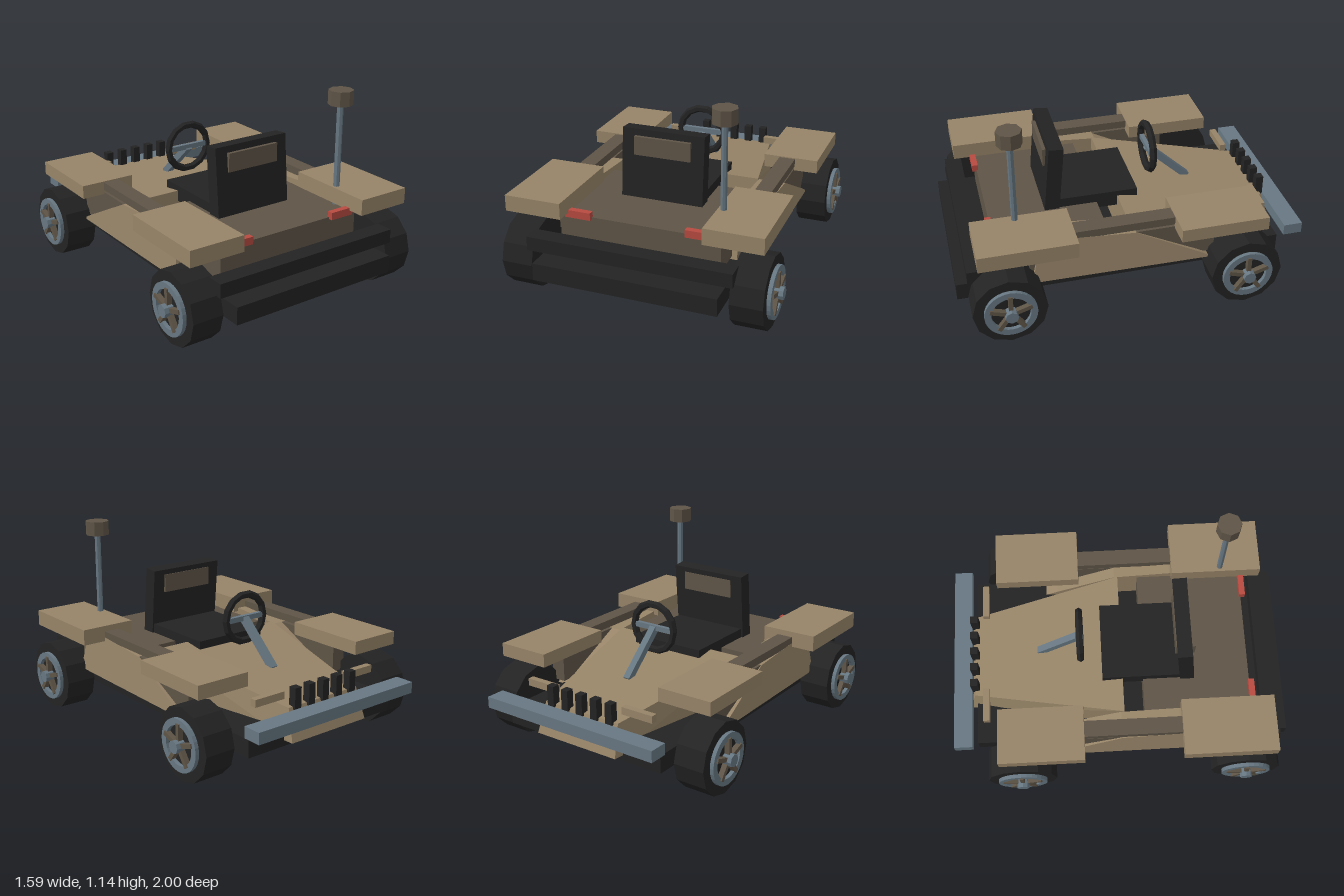
import * as THREE from 'three';
import { ConvexGeometry } from 'three/addons/geometries/ConvexGeometry.js';

const mat = (name, color) => {
  const m = new THREE.MeshStandardMaterial({ color, flatShading: true });
  m.name = name;
  return m;
};

export function createModel() {
  const tan = mat('tan paint', 0x978468);
  const brown = mat('dark brown', 0x5f5547);
  const steel = mat('blue steel', 0x677782);
  const black = mat('black', 0x232323);
  const red = mat('red', 0xb84a40);

  const car = new THREE.Group();
  car.name = 'buggy';

  const add = (name, geometry, material, parent = car) => {
    const mesh = new THREE.Mesh(geometry, material);
    mesh.name = name;
    parent.add(mesh);
    return mesh;
  };
  // Box given by its extents along each axis
  const box = (name, material, [x0, x1], [y0, y1], [z0, z1], parent = car) => {
    const mesh = add(name, new THREE.BoxGeometry(x1 - x0, y1 - y0, z1 - z0), material, parent);
    mesh.position.set((x0 + x1) / 2, (y0 + y1) / 2, (z0 + z1) / 2);
    return mesh;
  };
  // The same box on both sides of the car
  const pair = (name, material, [x0, x1], ys, zs) => {
    box(name + 'Left', material, [x0, x1], ys, zs);
    box(name + 'Right', material, [-x1, -x0], ys, zs);
  };
  const hull = (name, material, points) =>
    add(name, new ConvexGeometry(points.map((p) => new THREE.Vector3(...p))), material);

  // Chassis, tub and bumpers
  box('chassis', black, [-0.52, 0.52], [0.16, 0.26], [-0.87, 1]);
  box('rearTub', brown, [-0.46, 0.46], [0.28, 0.47], [0.14, 0.77]);
  box('rearBumper', black, [-0.58, 0.58], [0.3, 0.38], [0.84, 0.94]);
  box('frontBumper', steel, [-0.565, 0.565], [0.29, 0.355], [-1, -0.89]);

  // Tapered bonnet with a sloping nose
  const bonnet = [];
  for (const s of [-1, 1]) {
    bonnet.push([s * 0.43, 0.26, 0.02], [s * 0.43, 0.495, 0.02],
      [s * 0.25, 0.365, -0.87], [s * 0.27, 0.19, -0.925], [s * 0.43, 0.26, -0.02]);
  }
  hull('bonnet', tan, bonnet);

  // Side pods, leaning in towards the top
  const profile = [[0.59, 0.265], [0.54, 0.49], [0.34, 0.51], [0, 0.485], [-0.36, 0.3], [-0.44, 0.255]];
  for (const s of [-1, 1]) {
    const points = [];
    for (const [z, y] of profile) {
      points.push([s * 0.43, y, z], [s * (0.61 - (y - 0.26) * 0.1), y, z]);
    }
    hull(s > 0 ? 'sidePodLeft' : 'sidePodRight', tan, points);
  }
  pair('podCore', brown, [0.495, 0.583], [0.28, 0.485], [-0.455, 0.6]);
  pair('sideRail', brown, [0.49, 0.585], [0.5, 0.547], [-0.23, 0.36]);

  // Fenders and lights
  pair('rearFender', tan, [0.398, 0.725], [0.488, 0.58], [0.35, 0.89]);
  pair('frontFender', tan, [0.398, 0.72], [0.475, 0.553], [-0.72, -0.22]);
  pair('tailLight', red, [0.27, 0.42], [0.46, 0.503], [0.76, 0.795]);
  pair('frontMarker', tan, [0.23, 0.43], [0.393, 0.435], [-0.815, -0.778]);

  // Grille posts on the nose
  for (let i = -2; i <= 2; i++) {
    box('grillePost', black, [i * 0.1 - 0.022, i * 0.1 + 0.022], [0.35, 0.47], [-0.888, -0.843]);
  }

  // Seat
  box('seatCushion', black, [-0.23, 0.23], [0.43, 0.525], [-0.1, 0.36]);
  const back = box('seatBack', black, [-0.24, 0.24], [0.465, 0.863], [0.343, 0.428]);
  back.rotation.x = -0.09;
  box('headrestPanel', brown, [-0.165, 0.165], [0.72, 0.828], [0.323, 0.434]);

  // Steering wheel and sloping column
  const wheelRim = add('steeringWheel', new THREE.TorusGeometry(0.138, 0.022, 6, 14), black);
  wheelRim.position.set(0, 0.655, -0.222);
  box('steeringSpoke', steel, [-0.13, 0.13], [0.64, 0.67], [-0.235, -0.21]);
  const column = add('steeringColumn', new THREE.BoxGeometry(0.04, 0.04, 0.35), steel);
  column.position.set(0, 0.535, -0.345);
  column.rotation.x = -0.75;

  // Mast with beacon
  const mast = add('mast', new THREE.CylinderGeometry(0.018, 0.018, 0.62, 8), steel);
  mast.position.set(0.43, 0.76, 0.645);
  const beacon = add('beacon', new THREE.CylinderGeometry(0.07, 0.07, 0.083, 8), brown);
  beacon.position.set(0.43, 1.1, 0.645);

  // Wheels: built facing +x around their own axle
  const tyreGeo = new THREE.CylinderGeometry(0.205, 0.205, 0.18, 12).rotateZ(Math.PI / 2);
  const ringShape = new THREE.Shape().absarc(0, 0, 0.145, 0, Math.PI * 2);
  ringShape.holes.push(new THREE.Path().absarc(0, 0, 0.108, 0, Math.PI * 2, true));
  const ringGeo = new THREE.ExtrudeGeometry(ringShape, { depth: 0.025, bevelEnabled: false, curveSegments: 14 })
    .rotateY(Math.PI / 2);
  const hubGeo = new THREE.CylinderGeometry(0.036, 0.036, 0.06, 8).rotateZ(Math.PI / 2);
  const spokeGeo = new THREE.BoxGeometry(0.03, 0.1, 0.024).translate(0.755, 0.07, 0);
  for (const [end, z] of [['rear', 0.735], ['front', -0.605]]) {
    const axle = add(end + 'Axle', new THREE.CylinderGeometry(0.024, 0.024, 1.2, 8).rotateZ(Math.PI / 2), steel);
    axle.position.set(0, 0.21, z);
    for (const side of ['Left', 'Right']) {
      const wheel = new THREE.Group();
      wheel.name = end + 'Wheel' + side;
      add('tyre', tyreGeo, black, wheel).position.x = 0.65;
      add('rimRing', ringGeo, steel, wheel).position.x = 0.737;
      add('hub', hubGeo, steel, wheel).position.x = 0.765;
      for (let i = 0; i < 5; i++) {
        add('spoke', spokeGeo, brown, wheel).rotation.x = (i * Math.PI * 2) / 5;
      }
      wheel.position.set(0, 0.205, z);
      if (side === 'Right') wheel.rotation.y = Math.PI;
      car.add(wheel);
    }
  }
  return car;
}
